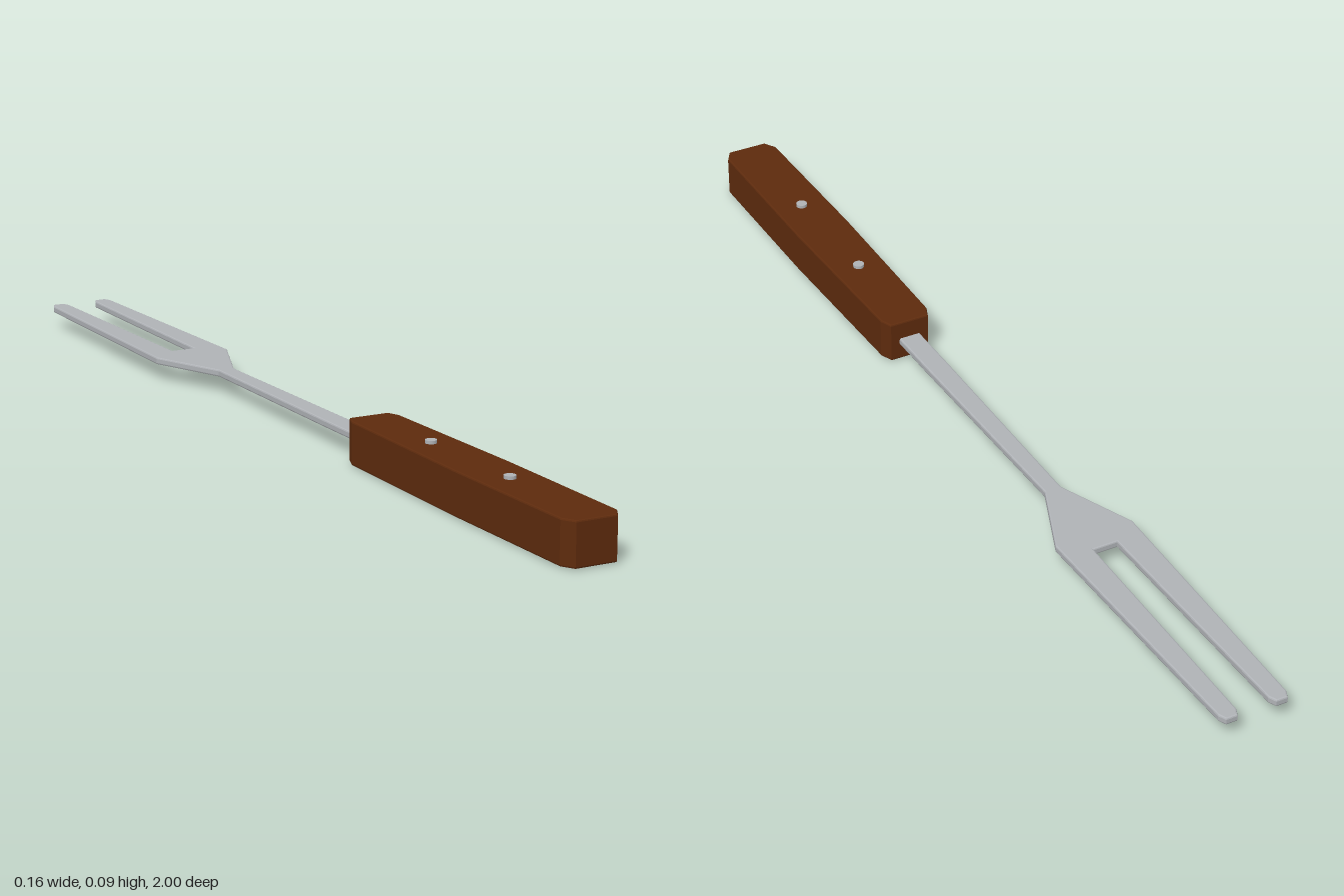
import * as THREE from 'three';

// Extrudes an outline of [x, z] points mirrored in x, between heights y0 and y1
function slab(half, y0, y1, bevel) {
  const right = half.map(([x, z]) => new THREE.Vector2(x, -z));
  const left = half.map(([x, z]) => new THREE.Vector2(-x, -z)).reverse();
  const geo = new THREE.ExtrudeGeometry(new THREE.Shape([...right, ...left]), {
    depth: y1 - y0 - 2 * bevel, bevelEnabled: true, bevelThickness: bevel,
    bevelSize: bevel, bevelOffset: -bevel, bevelSegments: 2,
  });
  geo.rotateX(-Math.PI / 2);
  geo.translate(0, y0 + bevel, 0);
  return geo;
}

export function createModel() {
  const wood = new THREE.MeshStandardMaterial({ color: 0x5e2b0d });
  wood.name = 'dark wood';
  const steel = new THREE.MeshStandardMaterial({ color: 0xb0b3b7 });
  steel.name = 'steel';

  const group = new THREE.Group();
  group.name = 'carvingFork';
  const add = (name, geo, mat) => {
    const mesh = new THREE.Mesh(geo, mat);
    mesh.name = name;
    group.add(mesh);
    return mesh;
  };

  // Handle: slightly swollen bar with chamfered ends
  add('handle', slab([
    [0.04, 1], [0.055, 0.975], [0.057, 0.64], [0.05, 0.28], [0.04, 0.255],
  ], 0.002, 0.084, 0.003), wood);

  // Shank, shoulders and two tines cut from one flat bar
  add('forkBlade', slab([
    [0.022, 0.32], [0.022, 0.15], [0.017, -0.31], [0.079, -0.46],
    [0.067, -0.985], [0.06, -1], [0.038, -1], [0.031, -0.985], [0.024, -0.5],
  ], 0.034, 0.048, 0.003), steel);

  // Rivets run right through the handle
  for (const z of [0.475, 0.735]) {
    const rivet = add('rivet', new THREE.CylinderGeometry(0.011, 0.011, 0.09, 16), steel);
    rivet.position.set(0, 0.045, z);
  }
  return group;
}
